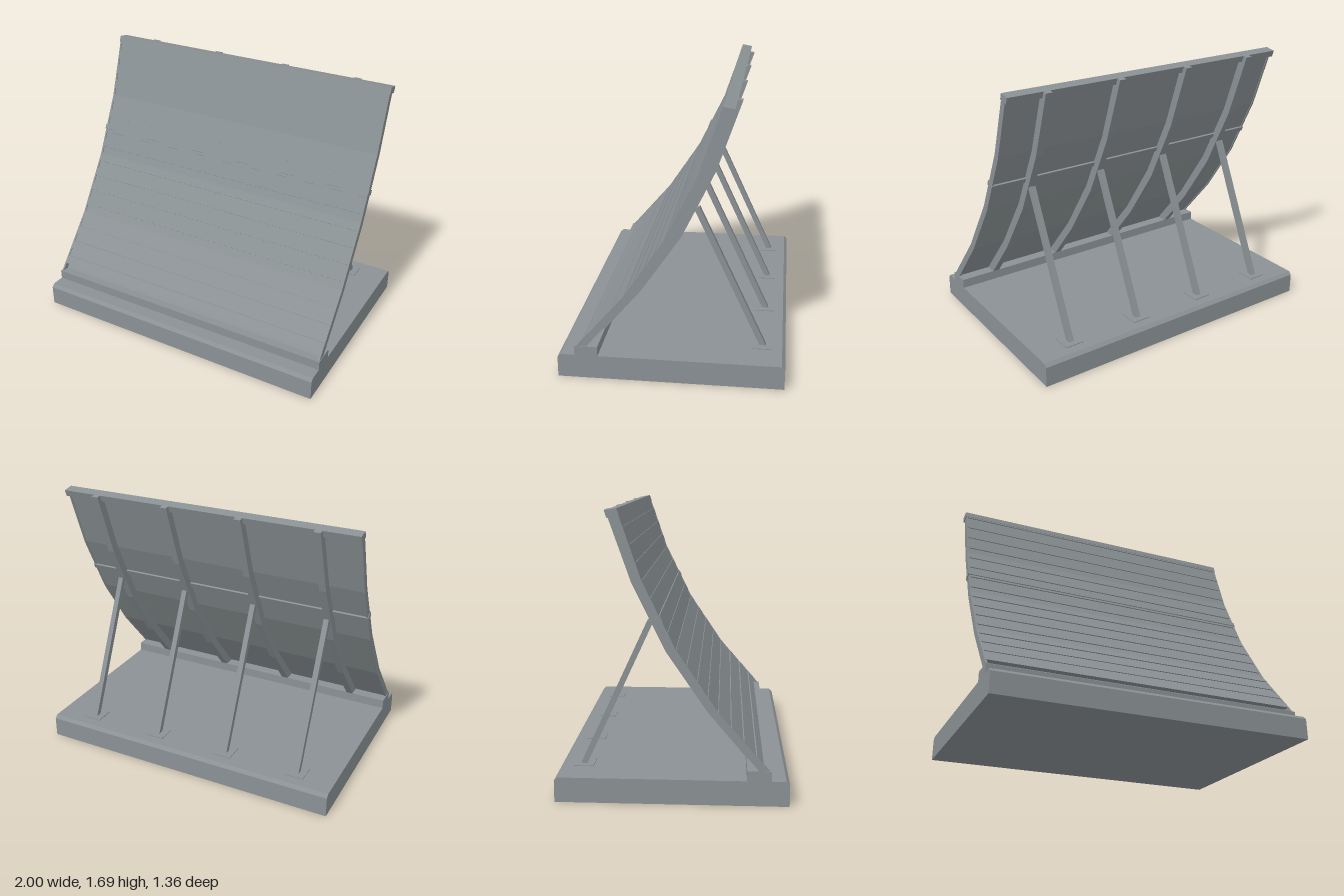
import * as THREE from 'three';

const steel = new THREE.MeshStandardMaterial({ color: 0x8a9194 });
steel.name = 'grey steel';

// Side profile of the curved screen as [z, y]: front line and rear line of the posts
const FRONT = [[0.565, 0.21], [0.27, 0.55], [0.03, 0.91], [-0.16, 1.297], [-0.295, 1.692]];
const BACK = [[0.435, 0.21], [0.2, 0.49], [-0.045, 0.85], [-0.245, 1.26], [-0.39, 1.675]];
const SHEET = 0.42; // share of the depth taken by the sheet

// Point on the screen: t runs up the profile (0..4), k from front (0) to back (1)
function at(t, k) {
  const i = Math.min(3, Math.floor(t)), f = t - i;
  const on = (line, a) => line[i][a] + (line[i + 1][a] - line[i][a]) * f;
  return [0, 1].map((a) => on(FRONT, a) * (1 - k) + on(BACK, a) * k);
}

// Closed strip of the profile between two heights and two depths
function strip(t0, t1, k0, k1) {
  const ts = [t0];
  for (let t = Math.floor(t0) + 1; t < t1; t++) ts.push(t);
  ts.push(t1);
  return [...ts.map((t) => at(t, k0)), ...ts.reverse().map((t) => at(t, k1))];
}

// Extrude a [z, y] outline across x
function across(name, outline, width, x = 0) {
  const shape = new THREE.Shape(outline.map((p) => new THREE.Vector2(p[0], p[1])));
  const geometry = new THREE.ExtrudeGeometry(shape, { depth: width, bevelEnabled: false });
  geometry.translate(0, 0, -width / 2).rotateY(-Math.PI / 2);
  const mesh = new THREE.Mesh(geometry, steel);
  mesh.name = name;
  mesh.position.x = x;
  return mesh;
}

export function createModel() {
  const group = new THREE.Group();
  group.name = 'curvedDeflectorScreen';

  // Foundation slab with chamfered long edges, and the sill under the screen
  group.add(across('baseSlab', [
    [0.68, 0], [0.68, 0.13], [0.66, 0.15], [-0.66, 0.15], [-0.68, 0.13], [-0.68, 0],
  ], 2));
  group.add(across('sill', [[0.575, 0.15], [0.575, 0.21], [0.435, 0.21], [0.435, 0.15]], 2));

  // Screen: backing sheet, ribbed slats and end plates
  group.add(across('backingSheet', strip(0, 4, SHEET - 0.08, SHEET), 1.98));
  const slats = new THREE.Group();
  slats.name = 'slats';
  for (let i = 1; i < 32; i++) {
    const raised = i % 2 === 1;
    const t0 = i / 8, t1 = (i + 1) / 8;
    slats.add(across('slat', strip(t0, t1, raised ? 0 : 0.06, SHEET - 0.08), raised ? 1.99 : 1.98));
  }
  group.add(slats);
  for (const side of [-1, 1]) {
    group.add(across('endPlate', strip(0, 4, 0.01, SHEET + 0.06), 0.012, side * 0.99));
  }

  // Rails along the middle joint and the top edge
  group.add(across('middleRail', strip(2.42, 2.5, -0.05, SHEET + 0.12), 2));
  group.add(across('topRail', strip(3.9, 4, -0.02, 0.7), 2));

  // Curved posts with slanted struts and foot plates
  for (const x of [-0.75, -0.25, 0.25, 0.75]) {
    group.add(across('post', strip(0, 4, SHEET - 0.02, 1), 0.045, x));

    const top = new THREE.Vector3(x, 1.03, -0.135), foot = new THREE.Vector3(x, 0.14, -0.547);
    const strut = new THREE.Mesh(new THREE.BoxGeometry(0.034, top.distanceTo(foot), 0.035), steel);
    strut.name = 'strut';
    strut.position.lerpVectors(top, foot, 0.5);
    strut.rotation.x = Math.atan2(top.z - foot.z, top.y - foot.y);
    group.add(strut);

    const pad = new THREE.Mesh(new THREE.BoxGeometry(0.12, 0.006, 0.12), steel);
    pad.name = 'footPlate';
    pad.position.set(x, 0.152, -0.537);
    group.add(pad);
  }
  return group;
}
